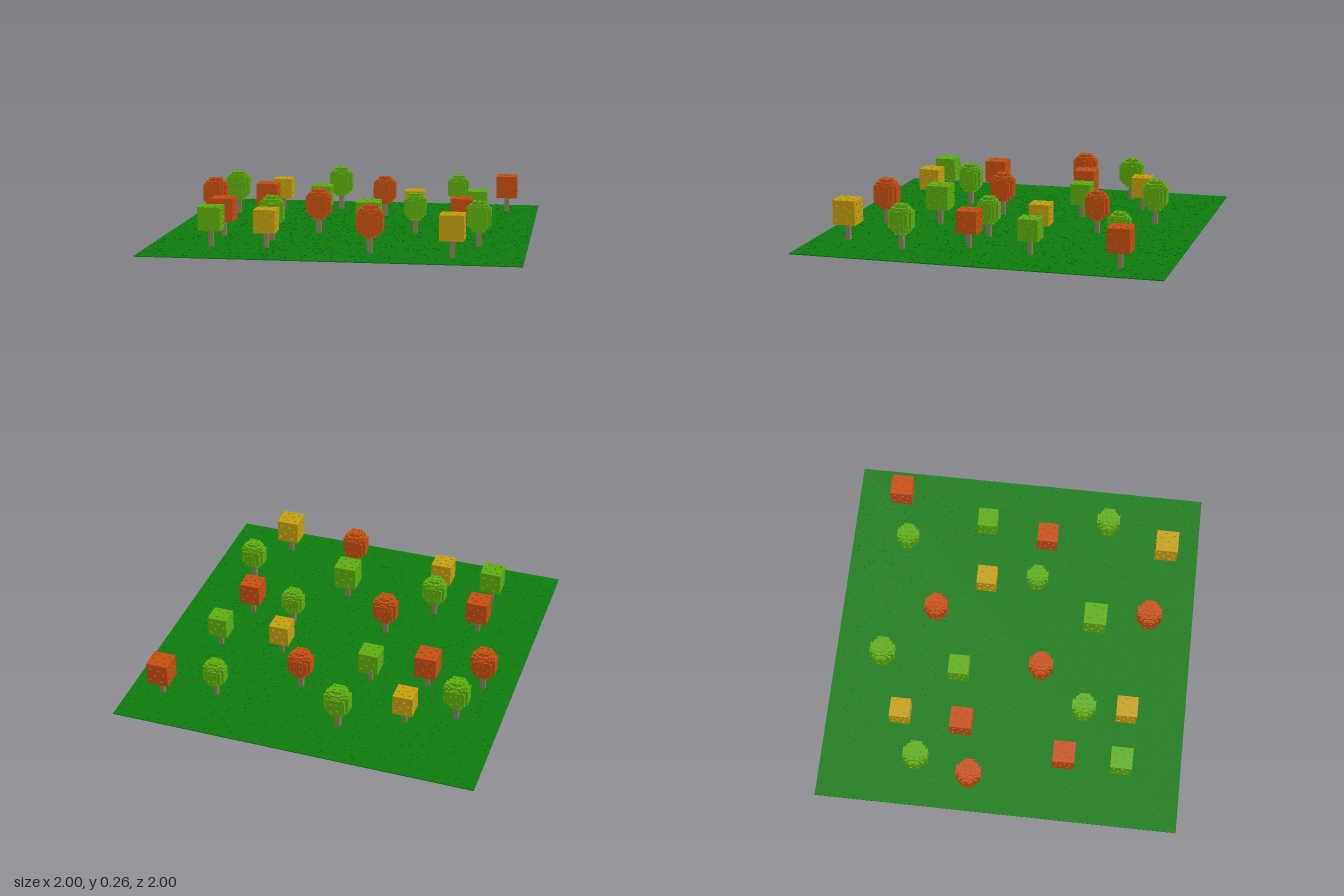
import * as THREE from 'three';
import { mergeGeometries } from 'three/addons/utils/BufferGeometryUtils.js';

const material = (name, color) => {
  const m = new THREE.MeshStandardMaterial({ color });
  m.name = name;
  return m;
};

const seeded = (seed) => () => {
  seed = (seed * 16807) % 2147483647;
  return seed / 2147483647;
};

const box = (w, h, d, x, y, z) => new THREE.BoxGeometry(w, h, d).translate(x, y, z);

// Thin plate with small octagonal pits, facing +z with its back on z = 0
function pittedPlate(w, h, depth, pits, radius) {
  const shape = new THREE.Shape();
  shape.moveTo(-w / 2, -h / 2);
  shape.lineTo(w / 2, -h / 2);
  shape.lineTo(w / 2, h / 2);
  shape.lineTo(-w / 2, h / 2);
  shape.closePath();
  for (const [u, v] of pits) {
    const hole = new THREE.Path();
    hole.absarc(u * w, v * h, radius, 0, Math.PI * 2, true);
    shape.holes.push(hole);
  }
  return new THREE.ExtrudeGeometry(shape, { depth, bevelEnabled: false, curveSegments: 4 }).toNonIndexed?.() ?? null;
}

// Six pitted plates around a block of size w x h x w centred at the origin
function pittedSides(w, h, faceW, faceH, depth, pits, radius) {
  const parts = [];
  for (let i = 0; i < 4; i++) {
    parts.push(pittedPlate(faceW, faceH, depth, pits, radius)
      .translate(0, 0, w / 2 - depth).rotateY(i * Math.PI / 2));
  }
  for (const s of [1, -1]) {
    parts.push(pittedPlate(faceW, faceW, depth, pits, radius)
      .translate(0, 0, h / 2 - depth).rotateX(-s * Math.PI / 2));
  }
  return parts;
}

const merge = (parts) => mergeGeometries(parts.map((g) => (g.index ? g.toNonIndexed() : g)));

// Cube crown, one unit wide
function cubeCrown() {
  const h = 1.07, d = 0.05;
  const pits = [[-0.28, 0.3], [0.1, 0.27], [0.33, 0.08], [-0.08, -0.05], [-0.32, -0.25], [0.22, -0.3]];
  return merge([
    box(1 - 2 * d, h - 2 * d, 1 - 2 * d, 0, 0, 0),
    ...pittedSides(1, h, 1, h, d, pits, 0.075)
  ]).translate(0, 0.78 + h / 2, 0);
}

// Stepped egg crown, one unit wide, made of rows of blocks
function roundCrown() {
  const h = 1.25, n = 11, layers = 14, d = 0.04;
  const core = 1 - 2 * d, coreH = h - 2 * d;
  const cell = core / n, step = coreH / layers;
  const parts = [];
  for (let j = 0; j < layers; j++) {
    const y = (j + 0.5) * step - coreH / 2;
    const t = Math.abs(y) / (coreH / 2);
    const r = Math.sqrt(1 - t ** 4) * core / 2 + cell * 0.3;
    for (let k = 0; k < n; k++) {
      const z = (k + 0.5) * cell - core / 2;
      if (Math.abs(z) > r) continue;
      const half = Math.floor(Math.sqrt(r * r - z * z) / cell);
      const width = Math.min(n, 2 * half + 1) * cell;
      parts.push(box(width, step, cell, 0, y, z));
    }
  }
  const pits = [[-0.25, 0.25], [0.2, 0.3], [0.3, -0.15], [-0.2, -0.25]];
  parts.push(...pittedSides(1, h, 0.5, 0.72, d, pits, 0.065));
  return merge(parts).translate(0, 0.65 + h / 2, 0);
}

// Each tree: crown, colour, x, z, crown width
const TREES = [
  ['round', 'green', -0.18, -0.72, 0.134], ['round', 'green', 0.535, -0.67, 0.12],
  ['round', 'green', -0.76, -0.46, 0.134], ['round', 'orange', 0.12, -0.455, 0.127],
  ['round', 'orange', -0.83, -0.16, 0.134], ['round', 'green', 0.36, 0.095, 0.12],
  ['round', 'orange', -0.17, 0.17, 0.132], ['round', 'green', -0.385, 0.43, 0.13],
  ['round', 'green', 0.74, 0.465, 0.13], ['round', 'orange', 0.195, 0.745, 0.136],
  ['cube', 'orange', 0.82, -0.74, 0.12], ['cube', 'yellow', -0.508, -0.578, 0.11],
  ['cube', 'orange', -0.535, -0.235, 0.12], ['cube', 'green', -0.225, -0.285, 0.112],
  ['cube', 'yellow', 0.327, -0.19, 0.11], ['cube', 'green', 0.68, -0.225, 0.11],
  ['cube', 'orange', 0.62, 0.128, 0.115], ['cube', 'orange', -0.668, 0.347, 0.12],
  ['cube', 'green', 0.147, 0.444, 0.126], ['cube', 'green', -0.668, 0.663, 0.12],
  ['cube', 'yellow', -0.37, 0.668, 0.116], ['cube', 'yellow', 0.63, 0.81, 0.126]
];

export function createModel() {
  const group = new THREE.Group();
  group.name = 'forest';
  const grass = material('grassGreen', 0x0f7d0f);
  const bark = material('bark', 0x8c8060);
  const leaves = {
    green: material('leafGreen', 0x60b010),
    orange: material('leafOrange', 0xca5010),
    yellow: material('leafYellow', 0xc8a210)
  };
  const add = (parent, name, geometry, mat) => {
    const mesh = new THREE.Mesh(geometry, mat);
    mesh.name = name;
    parent.add(mesh);
    return mesh;
  };

  // Ground slab with scattered grass tufts
  add(group, 'ground', box(2, 0.005, 2, 0, 0.0025, 0), grass);
  const random = seeded(41);
  const tufts = [];
  for (let i = 0; i < 1500; i++) {
    const x = (random() * 2 - 1) * 0.99, z = (random() * 2 - 1) * 0.99;
    tufts.push(box(0.009, 0.005, 0.009, x, 0.0065, z));
  }
  add(group, 'grassTufts', merge(tufts), grass);

  // Trees
  const crowns = { cube: cubeCrown(), round: roundCrown() };
  const trunk = box(0.21, 0.9, 0.21, 0, 0.45, 0);
  for (const [kind, color, x, z, w] of TREES) {
    const tree = new THREE.Group();
    tree.name = kind + 'Tree';
    add(tree, 'trunk', trunk, bark);
    add(tree, 'crown', crowns[kind], leaves[color]);
    tree.position.set(x, 0, z);
    tree.scale.setScalar(w);
    group.add(tree);
  }
  return group;
}
